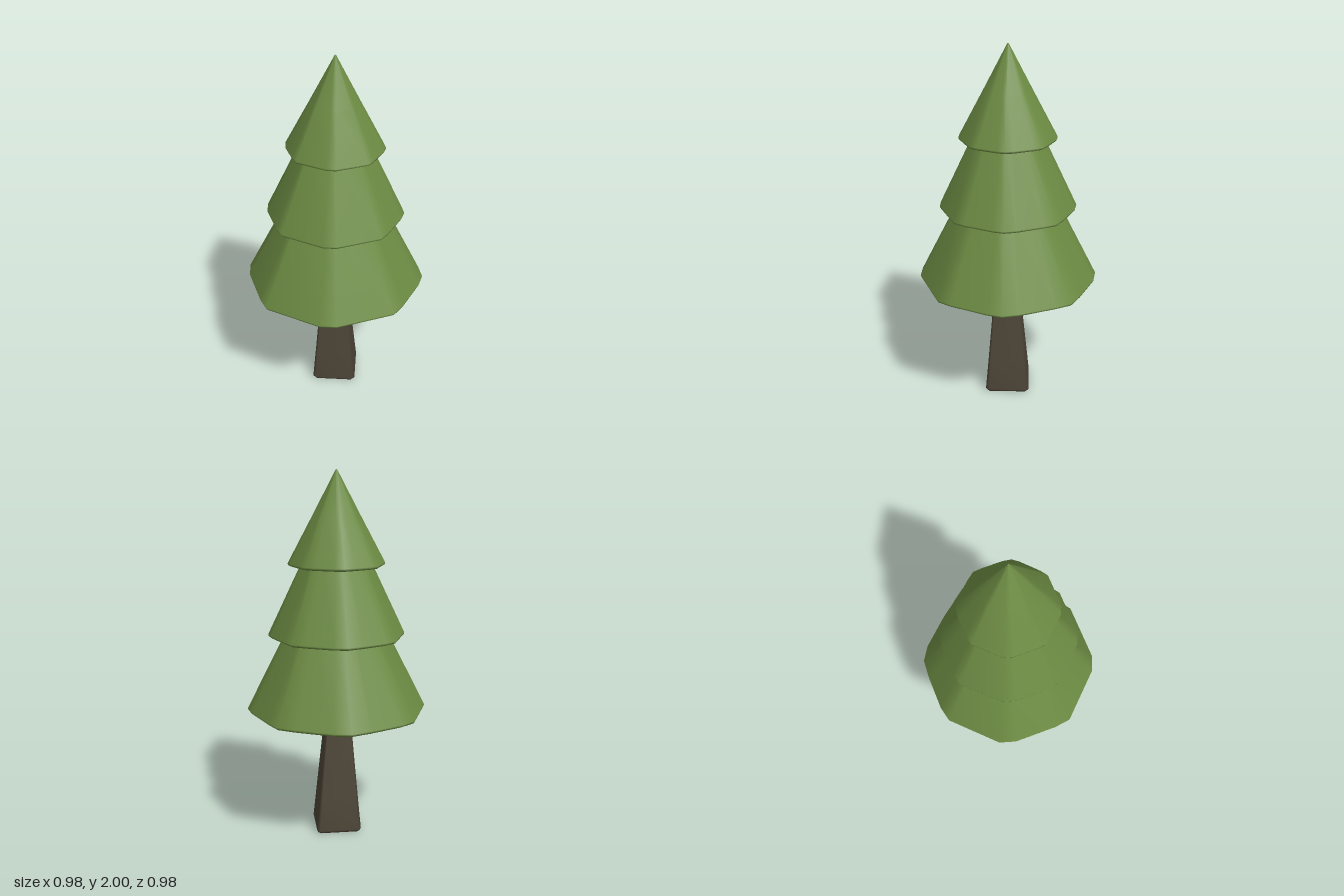
import * as THREE from 'three';

// Rounded octagon outline of the foliage as [x, z], widest at 0.49
const foliageOutline = [
  [-0.02, -0.49], [0.07, -0.475], [0.26, -0.39], [0.35, -0.34], [0.39, -0.26],
  [0.47, -0.07], [0.49, 0.015], [0.47, 0.09], [0.38, 0.29], [0.335, 0.36],
  [0.04, 0.487], [-0.05, 0.487], [-0.345, 0.358], [-0.39, 0.28], [-0.48, 0.06],
  [-0.49, -0.035], [-0.37, -0.325], [-0.3, -0.375], [-0.12, -0.455],
].map(([x, z]) => [x / 0.49, z / 0.49]);

// Square with softened corners; segment 4 is the -x face
const B = 0.88;
const trunkOutline = [[1, -B], [1, B], [B, 1], [-B, 1], [-1, B], [-1, -B], [-B, -1], [B, -1]];

// Skin an outline through rings of [radius, y, xShift, zShift], one group per segment
function loft(outline, rings, materialOf = () => 0) {
  const n = outline.length, pos = [], index = [];
  const g = new THREE.BufferGeometry();
  for (const [r, y, sx = 0, sz = 0] of rings)
    for (const [x, z] of outline) pos.push(x * r + sx, y, z * r + sz);
  for (let i = 0; i < n; i++) {
    const start = index.length;
    for (let j = 0; j < rings.length - 1; j++) {
      const a = j * n + i, b = j * n + (i + 1) % n, c = a + n, d = b + n;
      if (rings[j + 1][0] > 0) index.push(a, c, d);
      if (rings[j][0] > 0) index.push(a, d, b);
      else if (rings[j + 1][0] === 0) continue;
    }
    g.addGroup(start, index.length - start, materialOf(i));
  }
  g.setAttribute('position', new THREE.Float32BufferAttribute(pos, 3));
  g.setIndex(index);
  g.computeVertexNormals();
  return g;
}

export function createModel() {
  const tree = new THREE.Group();
  tree.name = 'pineTree';
  const leaf = new THREE.MeshStandardMaterial({ name: 'leafGreen', color: 0x6c8b43 });
  const bark = new THREE.MeshStandardMaterial({ name: 'barkGrey', color: 0x4d4538 });
  const warmBark = new THREE.MeshStandardMaterial({ name: 'barkReddish', color: 0x6a4a36 });

  const add = (name, geometry, materials) => {
    const mesh = new THREE.Mesh(geometry, materials);
    mesh.name = name;
    tree.add(mesh);
  };

  // Tapered trunk flaring out under the foliage, one side in warmer bark
  const trunkRings = [
    [0, 0, 0, 0], [0.116, 0, -0.002, 0.002], [0.124, 0.015, -0.002, 0.002],
    [0.107, 0.2, -0.003, 0.003], [0.087, 0.42, -0.005, 0.005], [0.068, 0.63, -0.007, 0.007],
    [0.067, 0.665, -0.008, 0.008], [0.074, 0.688, -0.008, 0.008], [0.095, 0.702, -0.008, 0.008],
  ];
  add('trunk', loft(trunkOutline, trunkRings, (i) => (i === 4 ? 1 : 0)), [bark, warmBark]);

  // Bark-coloured underside of the lowest tier
  add('foliageUnderside', loft(foliageOutline, [[0, 0.702], [0.43, 0.702]]), [bark]);

  // Three stacked tiers: inner rim, bottom edge, widest edge, top
  const tiers = [
    ['lowerTier', [[0.43, 0.702], [0.478, 0.7], [0.488, 0.706], [0.49, 0.716], [0.27, 1.15]]],
    ['middleTier', [[0.24, 1.12], [0.358, 1.115], [0.368, 1.12], [0.37, 1.13], [0.18, 1.53]]],
    ['topTier', [[0.15, 1.505], [0.248, 1.498], [0.258, 1.503], [0.26, 1.513], [0.13, 1.757], [0.004, 1.997], [0, 2]]],
  ];
  for (const [name, rings] of tiers) add(name, loft(foliageOutline, rings), [leaf]);

  return tree;
}
